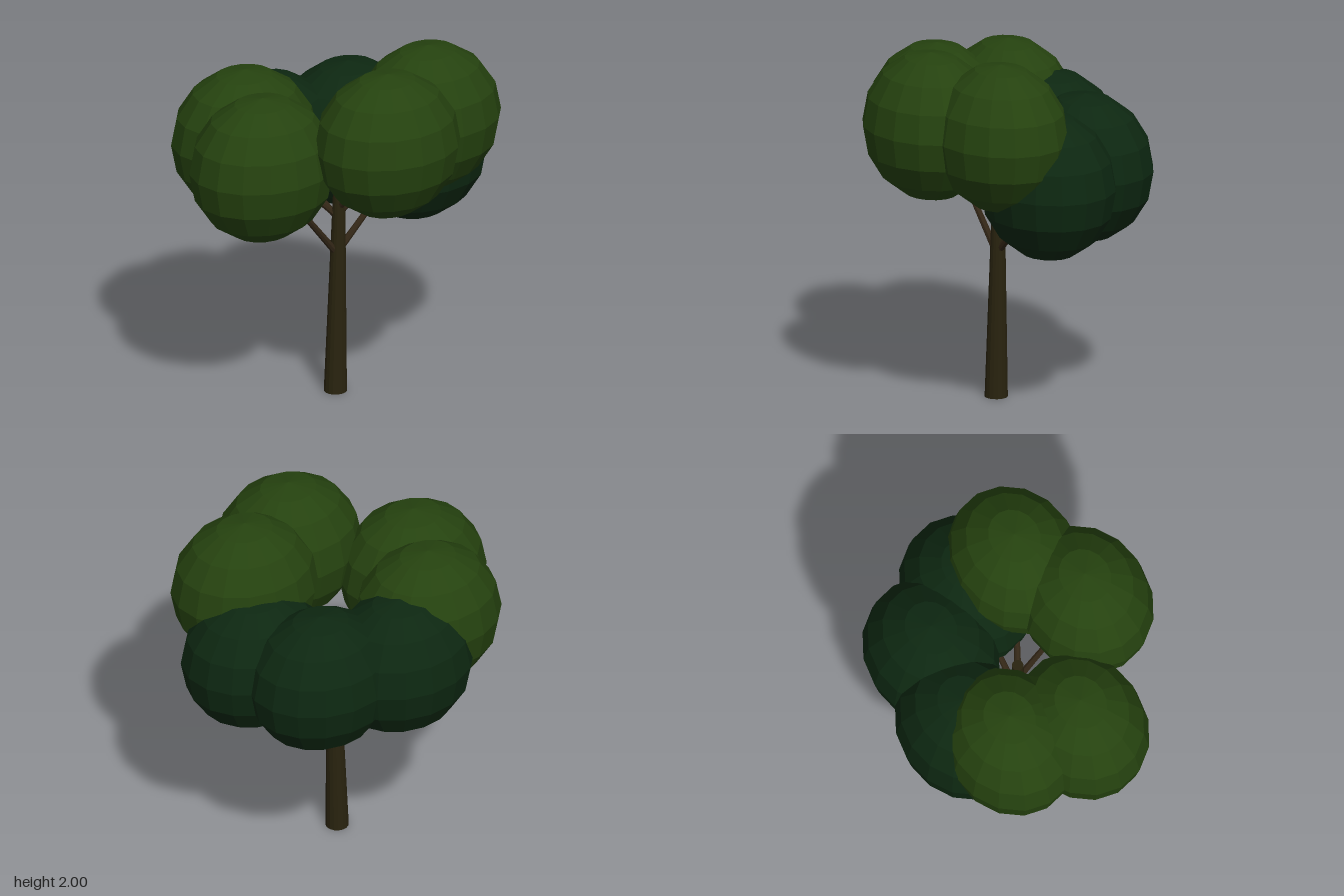
import * as THREE from 'three';

const material = (name, color) => {
  const m = new THREE.MeshStandardMaterial({ color, flatShading: true });
  m.name = name;
  return m;
};

// Tapered limb running from one point to another
function limb(name, from, to, r0, r1, sides, mat) {
  const a = new THREE.Vector3(...from), b = new THREE.Vector3(...to);
  const dir = b.clone().sub(a);
  const mesh = new THREE.Mesh(new THREE.CylinderGeometry(r1, r0, dir.length(), sides), mat);
  mesh.position.copy(a).add(b).multiplyScalar(0.5);
  mesh.quaternion.setFromUnitVectors(new THREE.Vector3(0, 1, 0), dir.normalize());
  mesh.name = name;
  return mesh;
}

export function createModel() {
  const tree = new THREE.Group();
  tree.name = 'tree';
  const bark = material('bark', 0x29230f);
  const branchBark = material('branch bark', 0x322616);
  const lightLeaf = material('light leaf', 0x25420f);
  const darkLeaf = material('dark leaf', 0x0d2711);

  // Slightly leaning trunk, cut level at the ground
  const height = 1.25;
  const trunkGeo = new THREE.CylinderGeometry(0.031, 0.063, height, 16).translate(0, height / 2, 0);
  const p = trunkGeo.attributes.position;
  for (let i = 0; i < p.count; i++) p.setX(i, p.getX(i) - 0.007 + 0.021 * p.getY(i));
  trunkGeo.computeVertexNormals();
  const trunk = new THREE.Mesh(trunkGeo, bark);
  trunk.name = 'trunk';
  tree.add(trunk);

  // Leaf clumps: centre, leaf colour, height where the branch leaves the trunk
  const clumps = [
    ['frontClump', [0.04, 1.595, 0.437], lightLeaf, 1.06],
    ['frontLeftClump', [0.43, 1.595, 0.235], lightLeaf, 1.03],
    ['rightClump', [-0.515, 1.45, 0.065], lightLeaf, 0.79],
    ['backRightClump', [-0.39, 1.45, -0.305], lightLeaf, 1.01],
    ['leftClump', [0.51, 1.31, -0.01], darkLeaf, 0.81],
    ['backLeftClump', [0.31, 1.31, -0.365], darkLeaf, 1.0],
    ['backClump', [-0.14, 1.31, -0.44], darkLeaf, 1.0],
  ];
  const ball = new THREE.SphereGeometry(1, 16, 8);
  for (const [name, centre, leaf, y] of clumps) {
    const clump = new THREE.Mesh(ball, leaf);
    clump.scale.set(0.41, 0.407, 0.355);
    clump.position.set(...centre);
    clump.name = name;
    tree.add(clump);
    // Branch reaching from the trunk into the clump
    const start = [-0.007 + 0.021 * y, y, 0];
    tree.add(limb(name.replace('Clump', 'Branch'), start, centre, 0.02, 0.011, 8, branchBark));
  }
  return tree;
}
